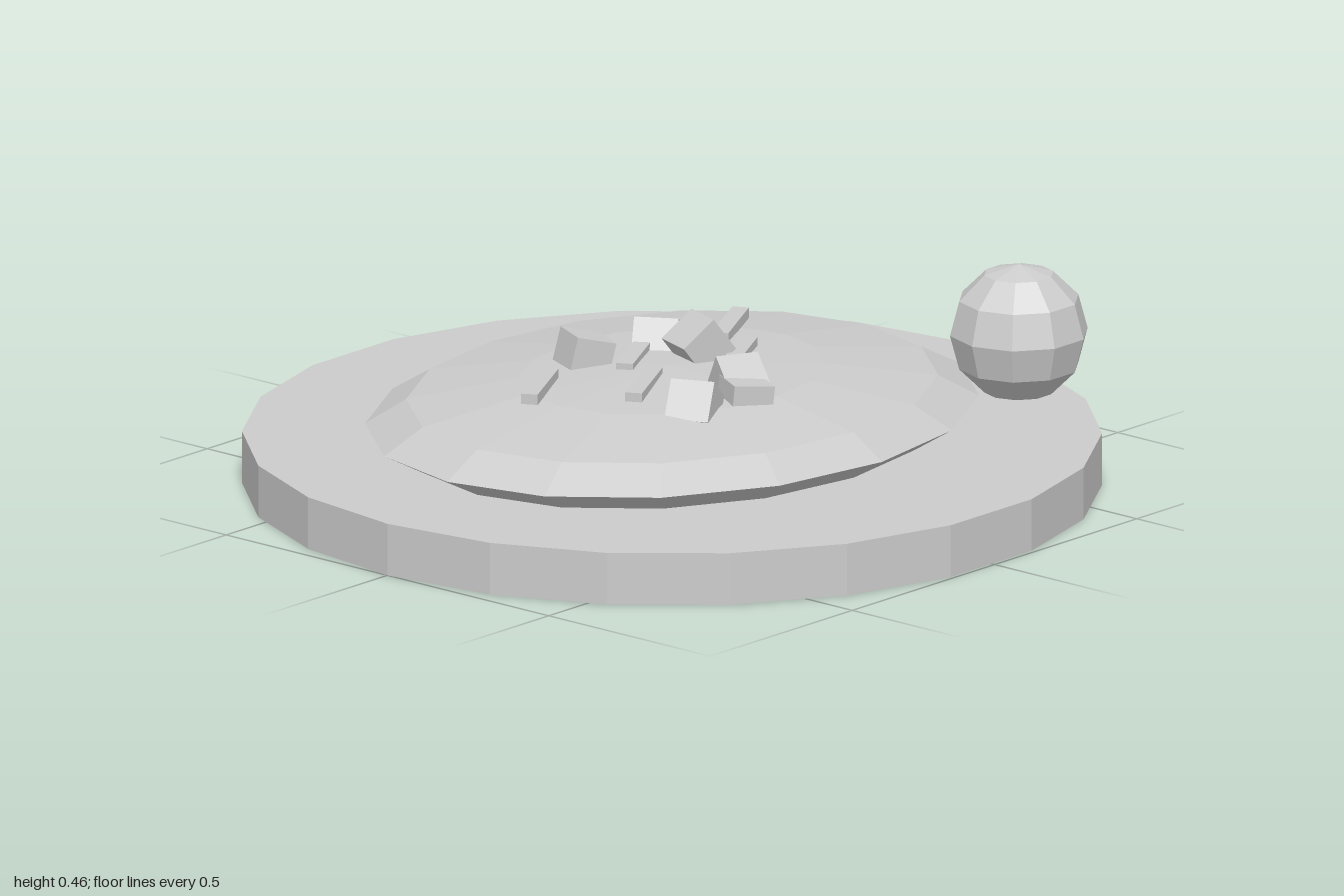
import * as THREE from 'three';

export function createModel() {
  const model = new THREE.Group();
  const grey = new THREE.MeshStandardMaterial({ color: 0xcccccc, flatShading: true });
  grey.name = 'plain grey';

  function add(name, geometry, x, y, z, parent = model) {
    const mesh = new THREE.Mesh(geometry, grey);
    mesh.name = name;
    mesh.position.set(x, y, z);
    parent.add(mesh);
    return mesh;
  }

  // Flat round plate, with a corner on the x axis
  add('plate', new THREE.CylinderGeometry(1, 1, 0.125, 22, 1, false, Math.PI / 2), 0, 0.0625, 0);

  // Flattened oval mound, its underside sunk into the plate
  add('mound', new THREE.SphereGeometry(1, 16, 6), 0, 0.18, 0).scale.set(0.79, 0.11, 0.65);

  // Ball resting at the edge of the plate
  add('ball', new THREE.SphereGeometry(0.164, 10, 6), 0.72, 0.295, 0.44);

  // Thin sticks in two staggered rows
  const sticks = new THREE.Group();
  sticks.name = 'sticks';
  model.add(sticks);
  const stickGeometry = new THREE.BoxGeometry(0.217, 0.025, 0.04);
  for (const [x, z] of [[-0.335, -0.115], [0, -0.115], [0.335, -0.115], [-0.167, 0.06], [0.167, 0.06]]) {
    add('stick', stickGeometry, x, 0.288, z, sticks).rotation.y = 0.5;
  }

  // Tumbled cubes: x, y, z, yaw, roll
  const cubes = new THREE.Group();
  cubes.name = 'cubes';
  model.add(cubes);
  const cubeGeometry = new THREE.BoxGeometry(0.1, 0.1, 0.105);
  const placements = [
    [-0.095, 0.295, -0.19, -0.45, -0.25],
    [0.12, 0.285, -0.15, 0.55, -0.5],
    [0.10, 0.317, -0.005, -0.33, 0.65],
    [-0.205, 0.28, 0.25, 0.44, -0.6],
    [-0.02, 0.29, 0.225, 1.1, 0.6],
    [-0.06, 0.268, 0.28, -0.5, -0.1],
  ];
  for (const [x, y, z, yaw, roll] of placements) {
    add('cube', cubeGeometry, x, y, z, cubes).rotation.set(0, yaw, roll, 'YXZ');
  }

  return model;
}
